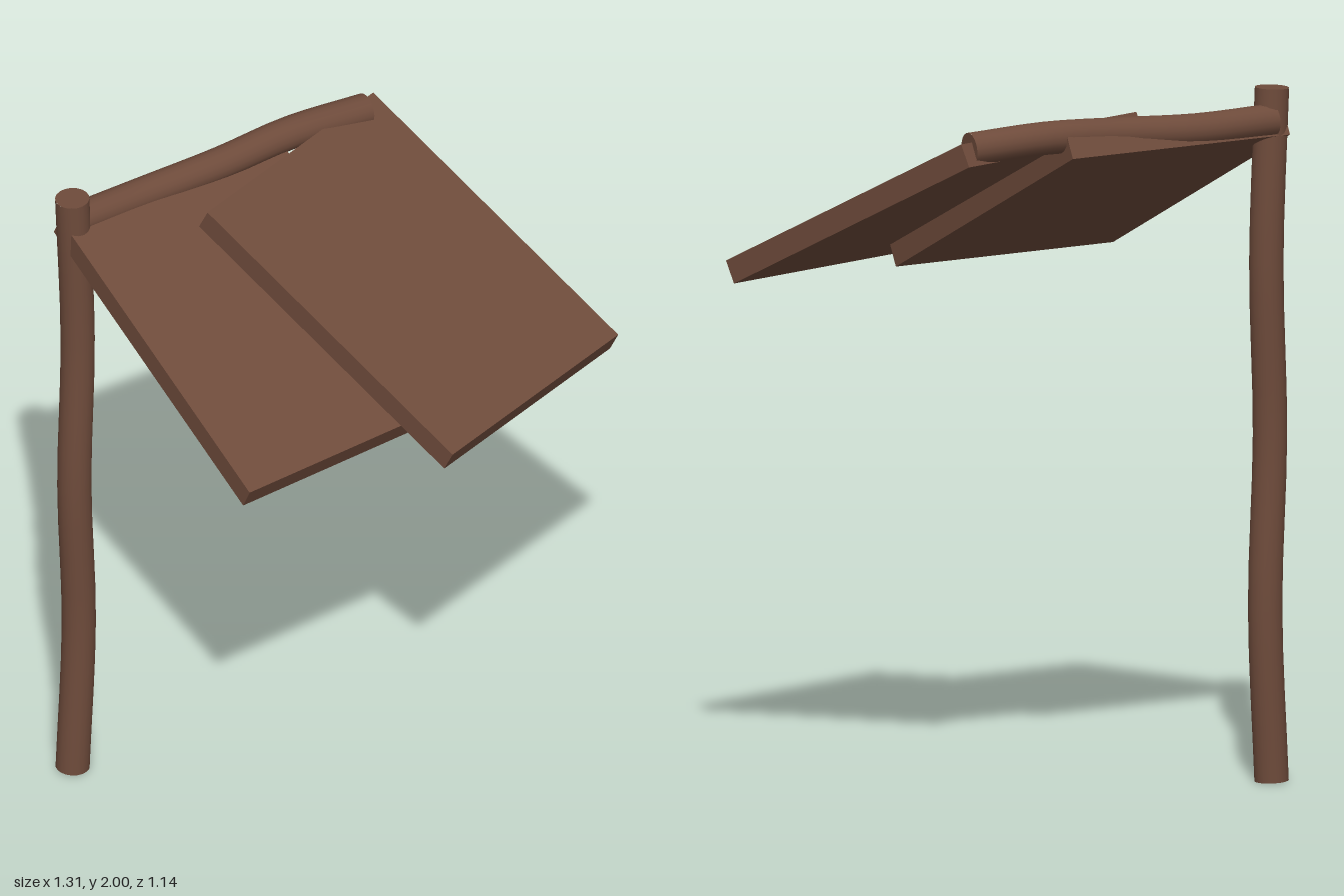
import * as THREE from 'three';

const wood = new THREE.MeshStandardMaterial({ color: 0x6e4b3b });
wood.name = 'brown wood';

// Gently crooked round pole through a few points, closed with flat end discs
function makePole(name, points, radius) {
  const group = new THREE.Group();
  group.name = name;
  const path = new THREE.CatmullRomCurve3(points.map((p) => new THREE.Vector3(...p)));
  const shaft = new THREE.Mesh(new THREE.TubeGeometry(path, 16, radius, 18), wood);
  shaft.name = name + 'Shaft';
  group.add(shaft);
  for (const t of [0, 1]) {
    const cap = new THREE.Mesh(new THREE.CircleGeometry(radius, 18), wood);
    const outward = path.getTangent(t).multiplyScalar(t ? 1 : -1);
    cap.quaternion.setFromUnitVectors(new THREE.Vector3(0, 0, 1), outward);
    cap.position.copy(path.getPoint(t));
    cap.name = name + 'End';
    group.add(cap);
  }
  return group;
}

// Roof panel sloping down towards the front, turned about the vertical
function makePanel(name, x, z, turn) {
  const panel = new THREE.Mesh(new THREE.BoxGeometry(0.745, 0.07, 1), wood);
  panel.name = name;
  panel.rotation.set(THREE.MathUtils.degToRad(25.9), THREE.MathUtils.degToRad(turn), 0, 'YXZ');
  panel.position.set(x, 1.68, z);
  return panel;
}

export function createModel() {
  const model = new THREE.Group();
  model.name = 'leanToRoof';

  // Upright post
  model.add(makePole('post', [
    [-0.61, 0, -0.51], [-0.588, 0.5, -0.51], [-0.61, 1, -0.502],
    [-0.592, 1.5, -0.51], [-0.61, 2, -0.512],
  ], 0.049));

  // Crossbeam along the top
  model.add(makePole('crossbeam', [
    [-0.6, 1.907, -0.526], [-0.35, 1.902, -0.517], [-0.1, 1.911, -0.492],
    [0.14, 1.92, -0.482], [0.39, 1.907, -0.456],
  ], 0.048));

  // Two overlapping roof panels
  model.add(makePanel('leftRoofPanel', -0.267, -0.095, 0));
  model.add(makePanel('rightRoofPanel', 0.181, 0.028, 14));

  return model;
}
